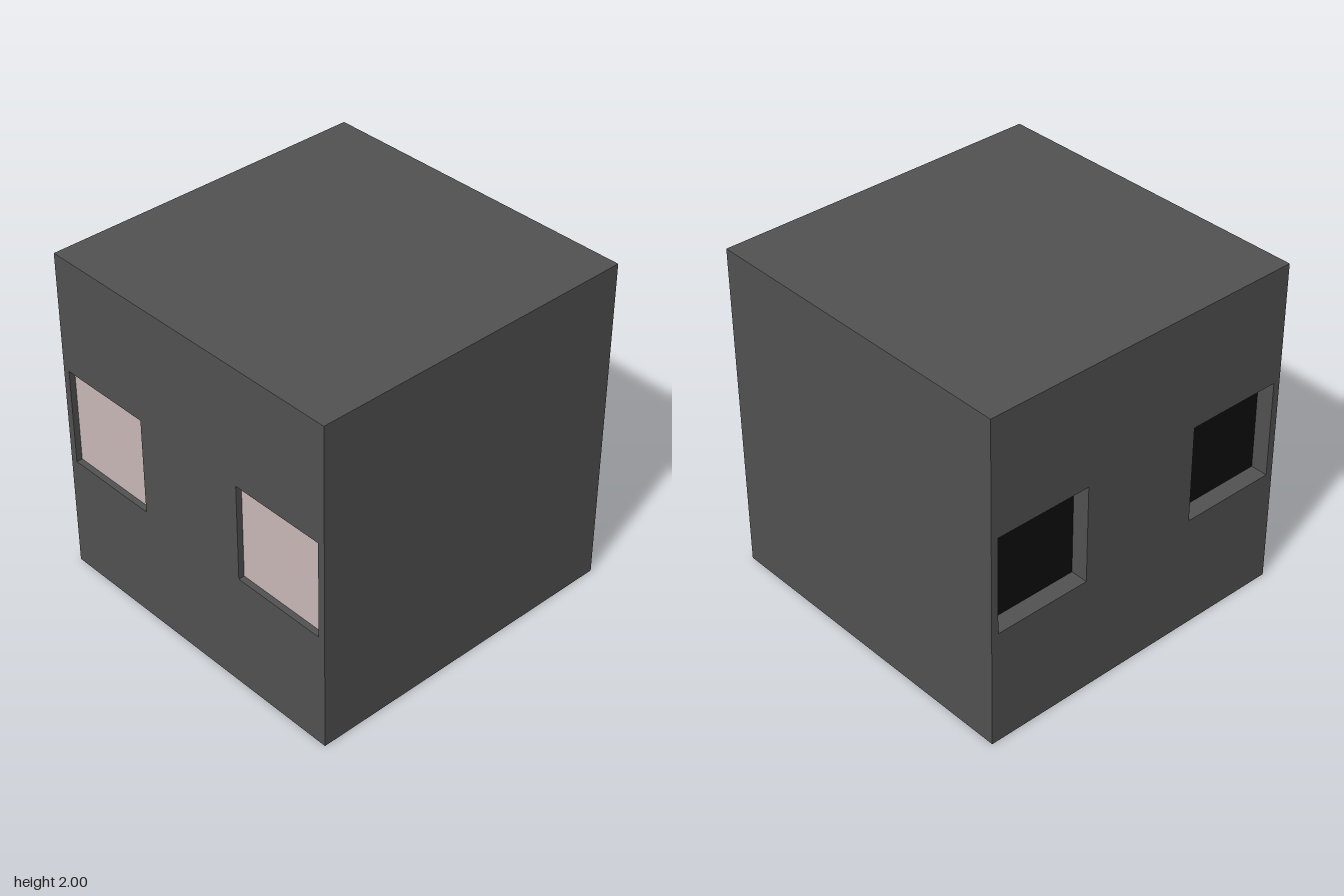
import * as THREE from 'three';

const WINDOW = 0.59;   // side of each square opening
const OFFSET = 0.662;  // opening centre, measured from the middle of the wall
const FRONT = 0.04;    // depth of the front wall
const SIDE = 0.108;    // depth of the right wall

// Rectangular wall from x0 to x1, pierced by two square openings at height 1
function piercedWall(x0, x1, depth) {
  const shape = new THREE.Shape([[x0, 0], [x1, 0], [x1, 2], [x0, 2]].map(p => new THREE.Vector2(...p)));
  const h = WINDOW / 2;
  for (const cx of [-OFFSET, OFFSET]) {
    shape.holes.push(new THREE.Path([[-h, -h], [-h, h], [h, h], [h, -h]]
      .map(([x, y]) => new THREE.Vector2(cx + x, 1 + y))));
  }
  return new THREE.ExtrudeGeometry(shape, { depth, bevelEnabled: false });
}

export function createModel() {
  const body = new THREE.MeshStandardMaterial({ color: 0x525252 });
  const pale = new THREE.MeshStandardMaterial({ color: 0xcab9b8 });
  const black = new THREE.MeshStandardMaterial({ color: 0x0f0f0f });
  body.name = 'dark grey';
  pale.name = 'pale pink';
  black.name = 'black';

  const model = new THREE.Group();
  model.name = 'cube';
  const add = (name, geometry, material, x, y, z) => {
    const mesh = new THREE.Mesh(geometry, material);
    mesh.name = name;
    mesh.position.set(x, y, z);
    model.add(mesh);
    return mesh;
  };

  // Solid core behind the two pierced walls
  add('core', new THREE.BoxGeometry(2 - SIDE, 2, 2 - FRONT), body, SIDE / 2, 1, -FRONT / 2);
  add('frontWall', piercedWall(-1, 1, FRONT), body, 0, 0, 1 - FRONT);

  // Right wall, turned so that its outer face looks along -x
  const wall = add('rightWall', piercedWall(-1, 1 - FRONT, SIDE), body, -1 + SIDE, 0, 0);
  wall.rotation.y = -Math.PI / 2;

  // Thin panels on the floors of the recesses
  const t = 0.004;
  for (const s of [-1, 1]) {
    const suffix = s > 0 ? 'Left' : 'Right';
    add('frontPanel' + suffix, new THREE.BoxGeometry(WINDOW, WINDOW, t), pale, s * OFFSET, 1, 1 - FRONT + t / 2);
    add('sidePanel' + (s > 0 ? 'Front' : 'Back'), new THREE.BoxGeometry(t, WINDOW, WINDOW), black,
      -1 + SIDE - t / 2, 1, s * OFFSET);
  }
  return model;
}
